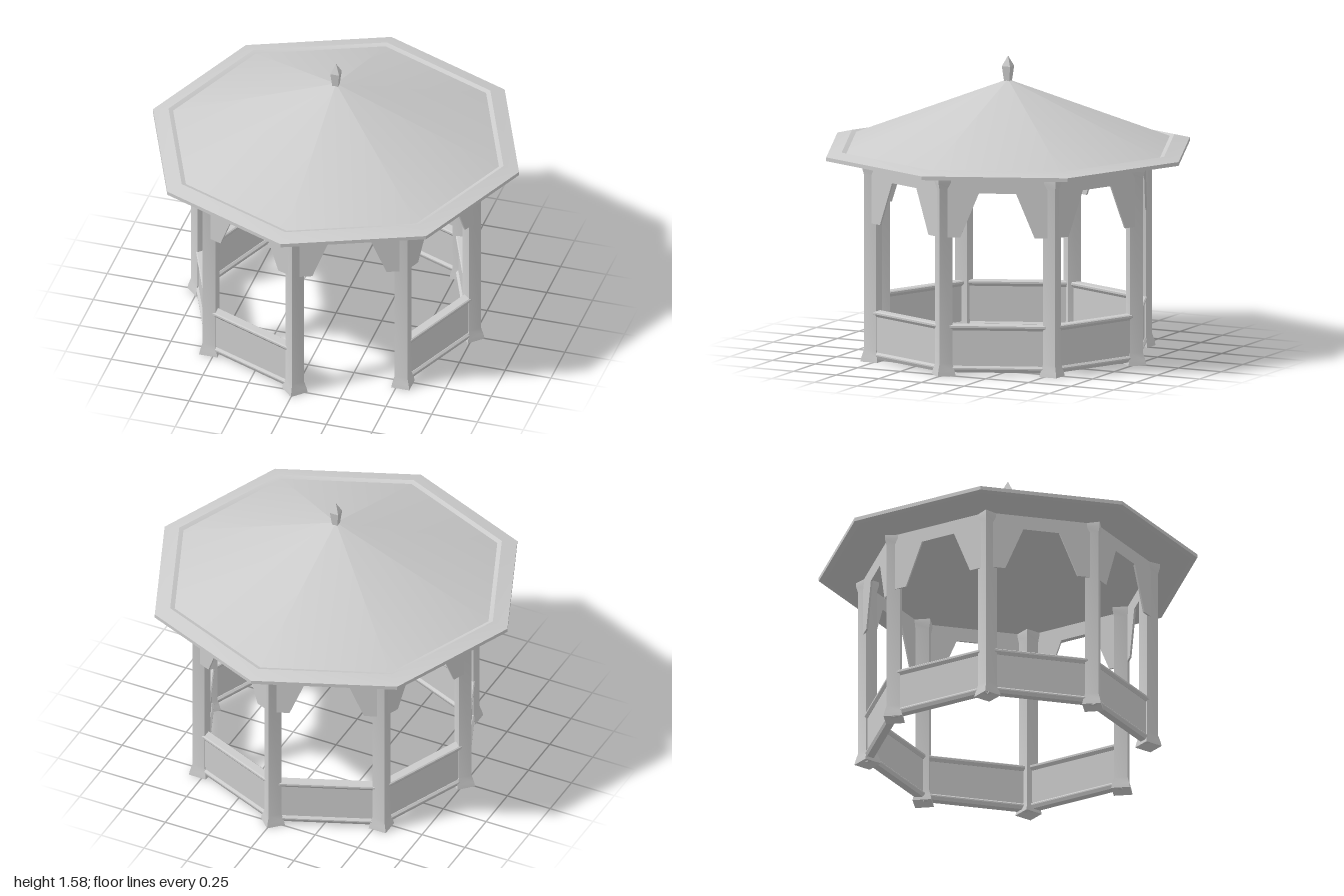
import * as THREE from 'three';
import { toCreasedNormals } from 'three/addons/utils/BufferGeometryUtils.js';

const SIDES = 8, STEP = (Math.PI * 2) / SIDES;
const POST_R = 0.742;      // radius of the post ring
const PANEL_Z = 0.683;     // distance of the low walls from the centre
const VALANCE_Z = 0.71;    // distance of the valance boards

const material = new THREE.MeshStandardMaterial({ color: 0xcccccc });

function addMesh(parent, name, geometry) {
  const mesh = new THREE.Mesh(geometry, material);
  mesh.name = name;
  parent.add(mesh);
  return mesh;
}

// Turned profile [radius, y] with few sides and sharp profile edges
function turned(profile, sides) {
  const pts = profile.map(([r, y]) => new THREE.Vector2(r, y));
  return toCreasedNormals(new THREE.LatheGeometry(pts, sides), 0.35);
}

// Straight bar along x from a half profile [halfDepth, y], mirrored in depth
function bar(half, length) {
  const pts = [...half, ...half.map(([d, y]) => [-d, y]).reverse()];
  const shape = new THREE.Shape(pts.map(([d, y]) => new THREE.Vector2(d, y)));
  const g = new THREE.ExtrudeGeometry(shape, { depth: length, bevelEnabled: false });
  return g.translate(0, 0, -length / 2).rotateY(Math.PI / 2);
}

// Valance board with an angular arch cut from its lower edge
function valanceGeometry() {
  const half = [[0.29, 1.05], [0.29, 0.735], [0.195, 0.735], [0.0975, 0.97]];
  const pts = [...half, ...half.map(([x, y]) => [-x, y]).reverse()];
  const shape = new THREE.Shape(pts.map(([x, y]) => new THREE.Vector2(x, y)));
  return new THREE.ExtrudeGeometry(shape, { depth: 0.01, bevelEnabled: false })
    .translate(0, 0, VALANCE_Z - 0.005);
}

export function createModel() {
  const model = new THREE.Group();
  model.name = 'gazebo';

  // Roof: ceiling, eaves rim and eight-sided cone
  addMesh(model, 'roof', turned([
    [0, 1.045], [0.77, 1.045], [1, 1.073], [1, 1.093],
    [0.915, 1.114], [0.89, 1.106], [0, 1.455],
  ], SIDES));

  // Four-sided finial, set square to the axes
  addMesh(model, 'finial', turned([
    [0, 1.44], [0.021, 1.44], [0.034, 1.525], [0, 1.58],
  ], 4)).rotation.y = Math.PI / 4;

  // Shared parts of each bay
  const post = turned([
    [0, 0.03], [0.07, 0], [0.064, 0.025], [0.05, 0.065],
    [0.05, 0.99], [0.06, 1.025], [0.06, 1.05], [0, 1.05],
  ], 4).translate(0, 0, POST_R);
  const valance = valanceGeometry();
  const panel = new THREE.BoxGeometry(0.56, 0.21, 0.03).translate(0, 0.145, PANEL_Z);
  const topRail = bar([[0.017, 0.24], [0.028, 0.255], [0.028, 0.265], [0.022, 0.27]], 0.56)
    .translate(0, 0, PANEL_Z);
  const bottomRail = bar([[0.02, 0.018], [0.028, 0.035], [0.028, 0.042], [0.018, 0.052]], 0.56)
    .translate(0, 0, PANEL_Z);

  for (let i = 0; i < SIDES; i++) {
    // Posts stand on the corners, one edge pointing outwards
    addMesh(model, 'post', post).rotation.y = i * STEP;

    const bay = new THREE.Group();
    bay.name = i === 0 ? 'entranceBay' : 'bay';
    bay.rotation.y = (i + 0.5) * STEP;
    model.add(bay);
    addMesh(bay, 'valance', valance);
    // The first bay stays open as the entrance
    if (i === 0) continue;
    addMesh(bay, 'wallPanel', panel);
    addMesh(bay, 'topRail', topRail);
    addMesh(bay, 'bottomRail', bottomRail);
  }
  return model;
}
